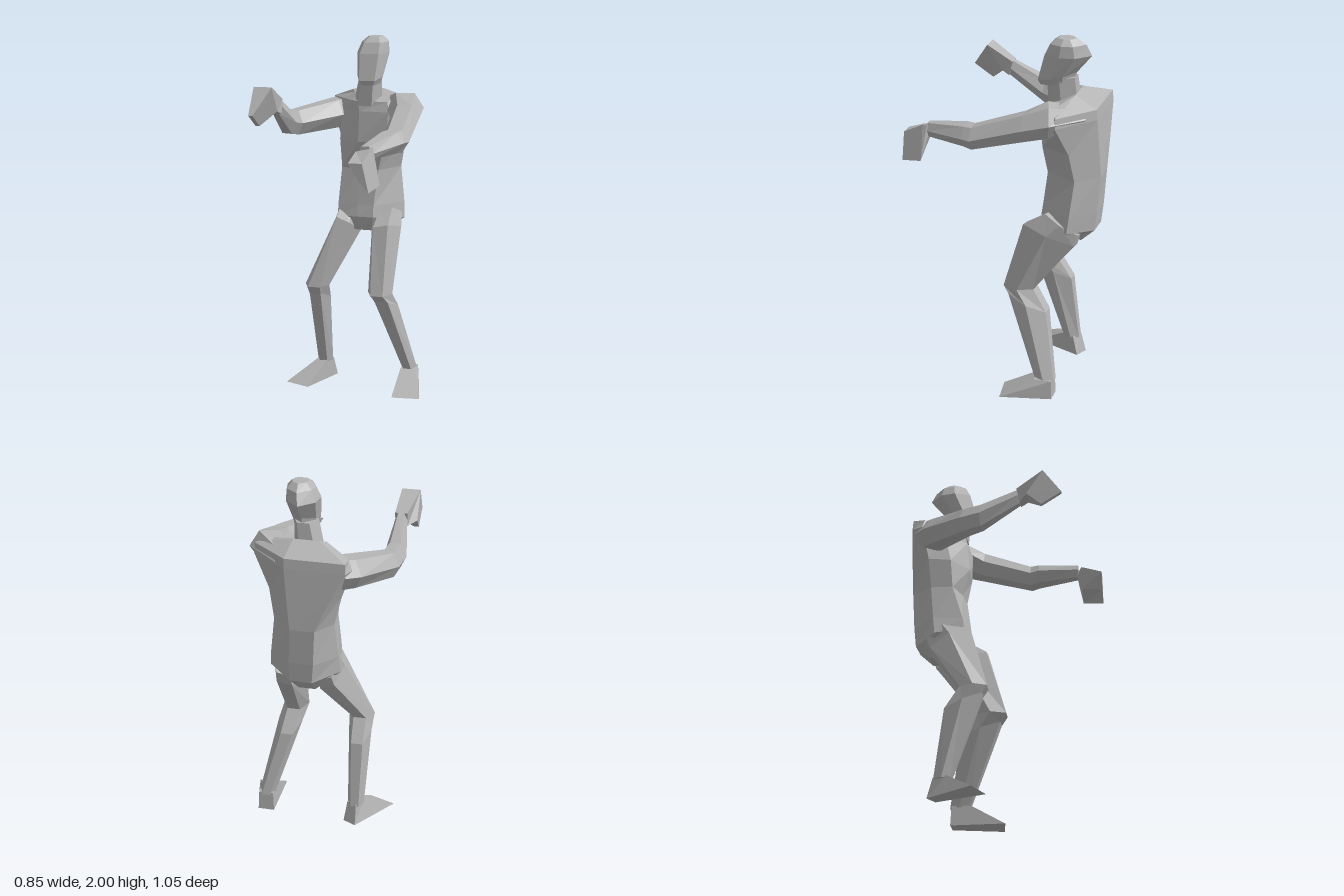
import * as THREE from 'three';

const skin = new THREE.MeshStandardMaterial({ color: 0xb4b4b4, flatShading: true });
skin.name = 'plain grey';

// Faceted skin through rings of equal point count, closed at both ends
function loft(name, rings) {
  const n = rings[0].length, tris = [];
  for (let r = 0; r < rings.length - 1; r++) {
    for (let i = 0; i < n; i++) {
      const j = (i + 1) % n;
      const [a, b, c, d] = [rings[r][i], rings[r][j], rings[r + 1][j], rings[r + 1][i]];
      tris.push([a, b, c], [a, c, d]);
    }
  }
  const last = rings[rings.length - 1];
  for (let i = 1; i < n - 1; i++) {
    tris.push([rings[0][0], rings[0][i + 1], rings[0][i]], [last[0], last[i], last[i + 1]]);
  }
  // Turn every face outward using the sign of the enclosed volume
  const origin = rings[0][0];
  let volume = 0;
  for (const t of tris) {
    const [a, b, c] = t.map((p) => p.clone().sub(origin));
    volume += a.dot(b.cross(c));
  }
  const points = tris.flatMap(([a, b, c]) => (volume < 0 ? [a, c, b] : [a, b, c]));
  const geometry = new THREE.BufferGeometry().setFromPoints(points);
  geometry.computeVertexNormals();
  const mesh = new THREE.Mesh(geometry, skin);
  mesh.name = name;
  return mesh;
}

const HEX = [[-0.5, 1], [0.5, 1], [1, 0], [0.5, -1], [-0.5, -1], [-1, 0]];
const SKULL = [[-0.6, 0.95], [0.6, 0.95], [1, 0.25], [0.85, -0.4], [0, -1], [-0.85, -0.4], [-1, 0.25]];
const BOX = [[-1, 1], [1, 1], [1, -1], [-1, -1]];

// Station: [position on axis, x min, x max, cross min, cross max, lean by x, lean by cross]
function section(axis, shape, [at, x0, x1, c0, c1, leanX = 0, leanC = 0]) {
  return shape.map(([u, v]) => {
    const x = (x0 + x1) / 2 + (u * (x1 - x0)) / 2;
    const c = (c0 + c1) / 2 + (v * (c1 - c0)) / 2;
    const along = at + u * leanX + v * leanC;
    return axis === 'y' ? new THREE.Vector3(x, along, c) : new THREE.Vector3(x, c, along);
  });
}
const limb = (name, axis, shape, stations) =>
  loft(name, stations.map((s) => section(axis, shape, s)));

// Outline at one height: x,z pairs, optionally sloping with z
function outline(y, xz, slope = 0) {
  const ring = [];
  for (let i = 0; i < xz.length; i += 2) {
    ring.push(new THREE.Vector3(xz[i], y + slope * (xz[i + 1] + 0.37), xz[i + 1]));
  }
  return ring;
}

export function createModel() {
  const model = new THREE.Group();
  model.name = 'figure';

  // Torso: right front, middle front, left front, left side, back pair, right side
  model.add(loft('torso', [
    outline(0.88, [-0.01, -0.24, 0.04, -0.23, 0.09, -0.24, 0.12, -0.36, 0.09, -0.42, 0, -0.42, -0.04, -0.36], 0.25),
    outline(0.97, [-0.1, -0.22, 0.02, -0.2, 0.11, -0.2, 0.25, -0.38, 0.12, -0.5, 0, -0.505, -0.13, -0.38], 0.15),
    outline(1.06, [-0.1, -0.23, 0.02, -0.215, 0.11, -0.21, 0.245, -0.39, 0.12, -0.51, -0.01, -0.515, -0.12, -0.39]),
    outline(1.26, [-0.095, -0.29, 0.02, -0.25, 0.13, -0.24, 0.22, -0.41, 0.11, -0.525, -0.02, -0.525, -0.1, -0.41]),
    outline(1.42, [-0.11, -0.3, 0.02, -0.21, 0.17, -0.22, 0.25, -0.385, 0.125, -0.515, -0.09, -0.52, -0.14, -0.42]),
    outline(1.59, [-0.11, -0.34, 0.02, -0.23, 0.19, -0.22, 0.34, -0.335, 0.14, -0.505, -0.175, -0.51, -0.2, -0.45]),
    outline(1.645, [-0.1, -0.34, 0.01, -0.24, 0.18, -0.24, 0.335, -0.335, 0.14, -0.5, -0.175, -0.505, -0.18, -0.44]),
    outline(1.7, [-0.03, -0.33, 0.02, -0.25, 0.13, -0.25, 0.25, -0.31, 0.12, -0.38, -0.02, -0.38, -0.05, -0.36], -0.45),
  ]));

  model.add(limb('neck', 'y', HEX, [
    [1.65, -0.025, 0.13, -0.38, -0.23, 0, -0.03],
    [1.79, 0.005, 0.135, -0.37, -0.22],
  ]));

  model.add(limb('head', 'y', SKULL, [
    [1.75, 0.02, 0.135, -0.36, -0.185, 0, -0.01],
    [1.79, 0.005, 0.15, -0.375, -0.172, 0, -0.025],
    [1.91, -0.01, 0.168, -0.452, -0.21],
    [1.97, 0.015, 0.162, -0.425, -0.24],
    [2.0, 0.05, 0.135, -0.375, -0.28],
  ]));

  // Legs, bent at the knee, with the hip slanting down to the crotch
  model.add(limb('leftLeg', 'y', HEX, [
    [0.99, 0.1, 0.245, -0.43, -0.25, 0.02, 0.05],
    [0.92, 0.085, 0.257, -0.41, -0.13, 0.02, 0.045],
    [0.59, 0.11, 0.25, -0.19, -0.02],
    [0.51, 0.135, 0.27, -0.27, -0.055, 0, 0.04],
    [0.1, 0.265, 0.355, -0.345, -0.24],
  ]));
  model.add(limb('rightLeg', 'y', HEX, [
    [0.99, -0.12, 0.01, -0.43, -0.25, -0.03, 0.05],
    [0.93, -0.135, 0.015, -0.41, -0.185, -0.03, 0.045],
    [0.6, -0.27, -0.13, -0.22, -0.075],
    [0.52, -0.263, -0.137, -0.3, -0.1, 0, 0.04],
    [0.1, -0.245, -0.155, -0.35, -0.26],
  ]));

  // Feet: wedges from ankle to sole
  model.add(loft('leftFoot', [
    outline(0, [0.265, -0.04, 0.42, -0.06, 0.355, -0.34, 0.265, -0.34]),
    outline(0.11, [0.27, -0.23, 0.355, -0.24, 0.35, -0.335, 0.27, -0.335]),
  ]));
  model.add(loft('rightFoot', [
    outline(0, [-0.385, -0.13, -0.24, -0.075, -0.14, -0.35, -0.21, -0.385]),
    outline(0.11, [-0.24, -0.28, -0.18, -0.25, -0.155, -0.32, -0.21, -0.355]),
  ]));

  // Left arm, reaching forward
  model.add(limb('leftArm', 'z', HEX, [
    [-0.4, 0.1, 0.2, 1.56, 1.65, -0.06],
    [-0.28, 0.17, 0.37, 1.53, 1.695, -0.03],
    [-0.16, 0.215, 0.378, 1.5, 1.645],
    [0.11, 0.235, 0.388, 1.43, 1.55],
    [0.16, 0.21, 0.372, 1.435, 1.545],
    [0.39, 0.185, 0.265, 1.43, 1.505],
  ]));
  // Left hand, rolled so the fingers hang down and outward
  model.add(loft('leftHand', [
    [0.385, 0.185, 1.44, 0.265, 1.505, 0.265, 1.43, 0.2, 1.43],
    [0.41, 0.18, 1.48, 0.265, 1.5, 0.308, 1.31, 0.22, 1.36],
    [0.525, 0.172, 1.44, 0.245, 1.44, 0.28, 1.29, 0.225, 1.35],
  ].map(([z, ...p]) => [0, 2, 4, 6].map((i) => new THREE.Vector3(p[i], p[i + 1], z)))));

  // Right arm, out to the side and forward at the elbow
  model.add(limb('rightArm', 'z', HEX, [
    [-0.42, -0.175, -0.05, 1.48, 1.645, 0.075],
    [-0.375, -0.245, -0.095, 1.475, 1.63, 0.06],
    [-0.175, -0.395, -0.28, 1.455, 1.59, 0.035],
    [-0.09, -0.415, -0.295, 1.47, 1.6, 0.01],
    [0.11, -0.38, -0.315, 1.61, 1.69, 0, -0.01],
  ]));
  // Right hand, narrowing to an outer fingertip edge
  model.add(limb('rightHand', 'z', BOX, [
    [0.11, -0.38, -0.315, 1.61, 1.69, 0, -0.01],
    [0.205, -0.425, -0.325, 1.63, 1.77, 0, 0.045],
    [0.295, -0.422, -0.398, 1.56, 1.63, 0, 0.055],
  ]));

  return model;
}
